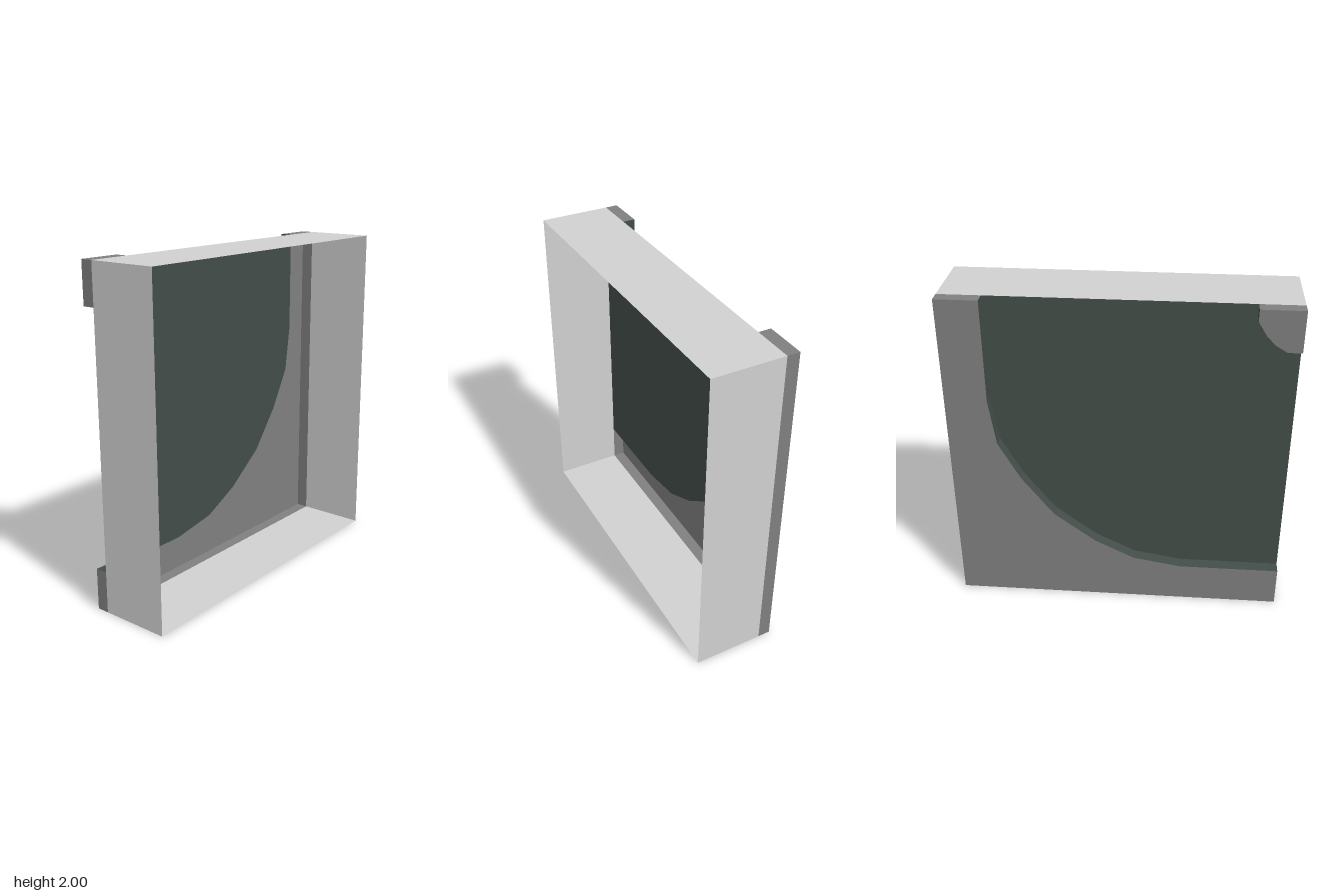
import * as THREE from 'three';

const FRONT = 0.25, PANEL = -0.175, BACK = -0.25;

function material(name, color) {
  const m = new THREE.MeshStandardMaterial({ color, side: THREE.DoubleSide });
  m.name = name;
  return m;
}

// Open band: a polyline in x/y swept between two depths, flat-shaded
function band(points, z0, z1) {
  const parts = [];
  for (let i = 0; i + 1 < points.length; i++) {
    const [ax, ay] = points[i], [bx, by] = points[i + 1];
    parts.push(ax, ay, z0, bx, by, z0, bx, by, z1, ax, ay, z0, bx, by, z1, ax, ay, z1);
  }
  const g = new THREE.BufferGeometry();
  g.setAttribute('position', new THREE.Float32BufferAttribute(parts, 3));
  g.computeVertexNormals();
  return g;
}

// Flat sheet at depth z; backward turns it to face -z
function sheet(points, z, backward) {
  const g = new THREE.ShapeGeometry(new THREE.Shape(points.map(p => new THREE.Vector2(p[0], p[1]))));
  if (backward) {
    const idx = g.index.array;
    for (let i = 0; i < idx.length; i += 3) [idx[i], idx[i + 1]] = [idx[i + 1], idx[i]];
    g.computeVertexNormals();
  }
  return g.translate(0, 0, z);
}

export function createModel() {
  const group = new THREE.Group();
  const light = material('lightGrey', 0xd0d0d0);
  const grey = material('midGrey', 0x7f7f7f);
  const green = material('darkGreen', 0x434d49);
  const add = (name, geometry, mat) => {
    const mesh = new THREE.Mesh(geometry, mat);
    mesh.name = name;
    group.add(mesh);
  };

  // Large sweep and small corner sweep that bound the recess
  const sweep = [[0.75, 2], [0.75, 1.38], [0.71, 1.1], [0.58, 0.86], [0.39, 0.61],
    [0.14, 0.42], [-0.1, 0.3], [-0.39, 0.25], [-1, 0.25]];
  const corner = [[-1, 1.755], [-0.92, 1.755], [-0.85, 1.797], [-0.8, 1.85], [-0.75, 1.93], [-0.75, 2]];

  // Thin four-sided surround, open at front and back
  add('frameWalls', band([[-1, 0], [1, 0], [1, 2], [-1, 2], [-1, 0]], FRONT, PANEL), light);

  // Raised border behind the panel: back face and outer edges
  const borderEdge = [[-1, 0.25], [-1, 0], [1, 0], [1, 2], [0.75, 2]];
  add('borderFace', sheet([...sweep, ...borderEdge.slice(1, 4)], BACK, true), grey);
  add('borderEdge', band(borderEdge, PANEL, BACK), grey);

  // Raised quarter-round in the upper corner
  add('cornerFace', sheet([...corner, [-1, 2]], BACK, true), grey);
  add('cornerEdge', band([[-0.75, 2], [-1, 2], [-1, 1.755]], PANEL, BACK), grey);

  // Recessed panel and its curved side walls
  add('recessPanel', sheet([...sweep, ...corner], PANEL, false), green);
  add('recessWall', band(sweep, PANEL, BACK), green);
  add('cornerWall', band(corner, PANEL, BACK), green);

  return group;
}
